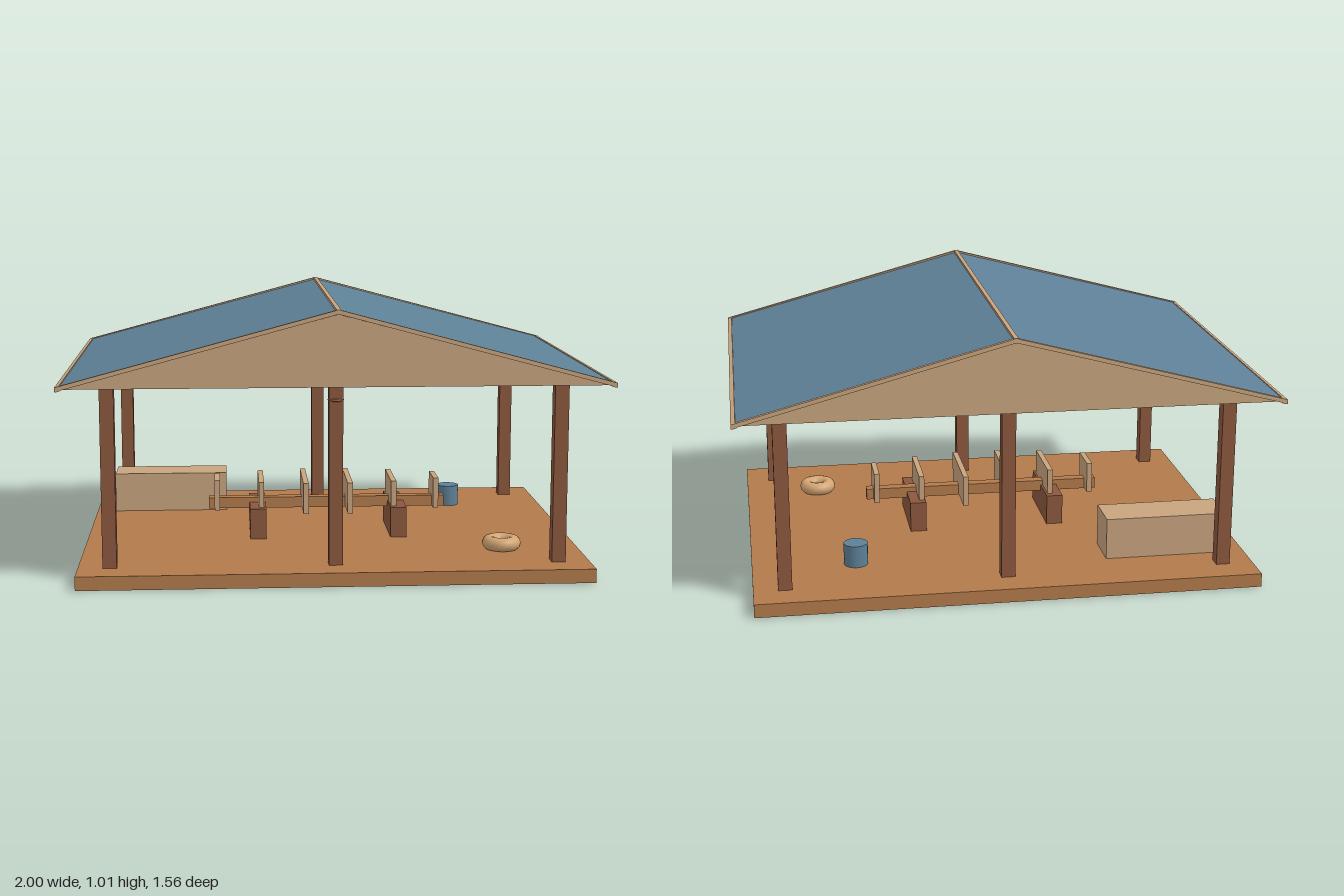
import * as THREE from 'three';

const mat = (name, color) => {
  const m = new THREE.MeshStandardMaterial({ color });
  m.name = name;
  return m;
};

export function createModel() {
  const deckWood = mat('deck wood', 0xb27a4b);
  const darkWood = mat('dark wood', 0x8c583e);
  const paleWood = mat('pale wood', 0xc9a47e);
  const blue = mat('slate blue', 0x5d8096);
  const rope = mat('rope', 0xd4a574);
  const model = new THREE.Group();
  model.name = 'boatShed';

  const add = (name, geometry, material, x, y, z) => {
    const mesh = new THREE.Mesh(geometry, material);
    mesh.name = name;
    mesh.position.set(x, y, z);
    model.add(mesh);
    return mesh;
  };
  // Box given by its size, horizontal centre and bottom height
  const box = (name, material, w, h, d, x, bottom, z) =>
    add(name, new THREE.BoxGeometry(w, h, d), material, x, bottom + h / 2, z);
  // Outline in x and y, extruded from z0 to z1
  const extrude = (name, material, points, z0, z1) => {
    const shape = new THREE.Shape(points.map(([x, y]) => new THREE.Vector2(x, y)));
    const geometry = new THREE.ExtrudeGeometry(shape, { depth: z1 - z0, bevelEnabled: false });
    return add(name, geometry, material, 0, 0, z0);
  };

  // Deck and posts
  box('deck', deckWood, 1.895, 0.052, 1.5, 0, 0, 0);
  for (const x of [-0.83, 0, 0.83]) {
    for (const z of [-0.61, 0.61]) box('post', darkWood, 0.052, 0.685, 0.052, x, 0.05, z);
  }
  const band = add('postRing', new THREE.TorusGeometry(0.025, 0.005, 8, 24), darkWood, 0, 0.667, 0.615);
  band.rotation.x = Math.PI / 2;

  // Closed gable roof with a flat ceiling
  extrude('gable', paleWood, [[-0.985, 0.733], [0.985, 0.733], [0, 0.992]], -0.768, 0.768);
  const chevron = (half, eave, apex, t) => [
    [-half, eave], [-half, eave - t], [0, apex - t], [half, eave - t], [half, eave], [0, apex],
  ];
  extrude('roofCovering', blue, chevron(0.985, 0.742, 1.003, 0.011), -0.766, 0.766);

  // Pale trim along the rakes, eaves and ridge
  for (const z of [-0.772, 0.772]) {
    extrude('rakeTrim', paleWood, chevron(1, 0.742, 1.01, 0.016), z - 0.008, z + 0.008);
  }
  for (const side of [-1, 1]) {
    const eave = box('eaveTrim', paleWood, 0.016, 0.017, 1.56, side * 0.99, 0.727, 0);
    eave.rotation.z = -side * 0.26;
  }
  box('ridgeTrim', paleWood, 0.016, 0.018, 1.56, 0, 0.992, 0);

  // Unfinished hull: keel on two blocks, with ribs widest amidships
  const hullZ = 0.042;
  box('keel', deckWood, 0.945, 0.043, 0.043, 0, 0.148, hullZ);
  for (const x of [-0.277, 0.277]) box('keelBlock', darkWood, 0.064, 0.12, 0.315, x, 0.052, hullZ);
  [0.145, 0.256, 0.315, 0.315, 0.256, 0.145].forEach((width, i) => {
    box('rib', paleWood, 0.021, 0.122, width, -0.438 + i * 0.1745, 0.15, hullZ);
  });

  // Chest, bucket and coil of rope
  box('chest', paleWood, 0.467, 0.16, 0.165, -0.635, 0.052, -0.433);
  add('bucket', new THREE.CylinderGeometry(0.046, 0.046, 0.085, 20), blue, 0.553, 0.0945, -0.415);
  const coil = add('ropeCoil', new THREE.TorusGeometry(0.047, 0.027, 12, 28), rope, 0.651, 0.078, 0.418);
  coil.rotation.x = Math.PI / 2;

  return model;
}
